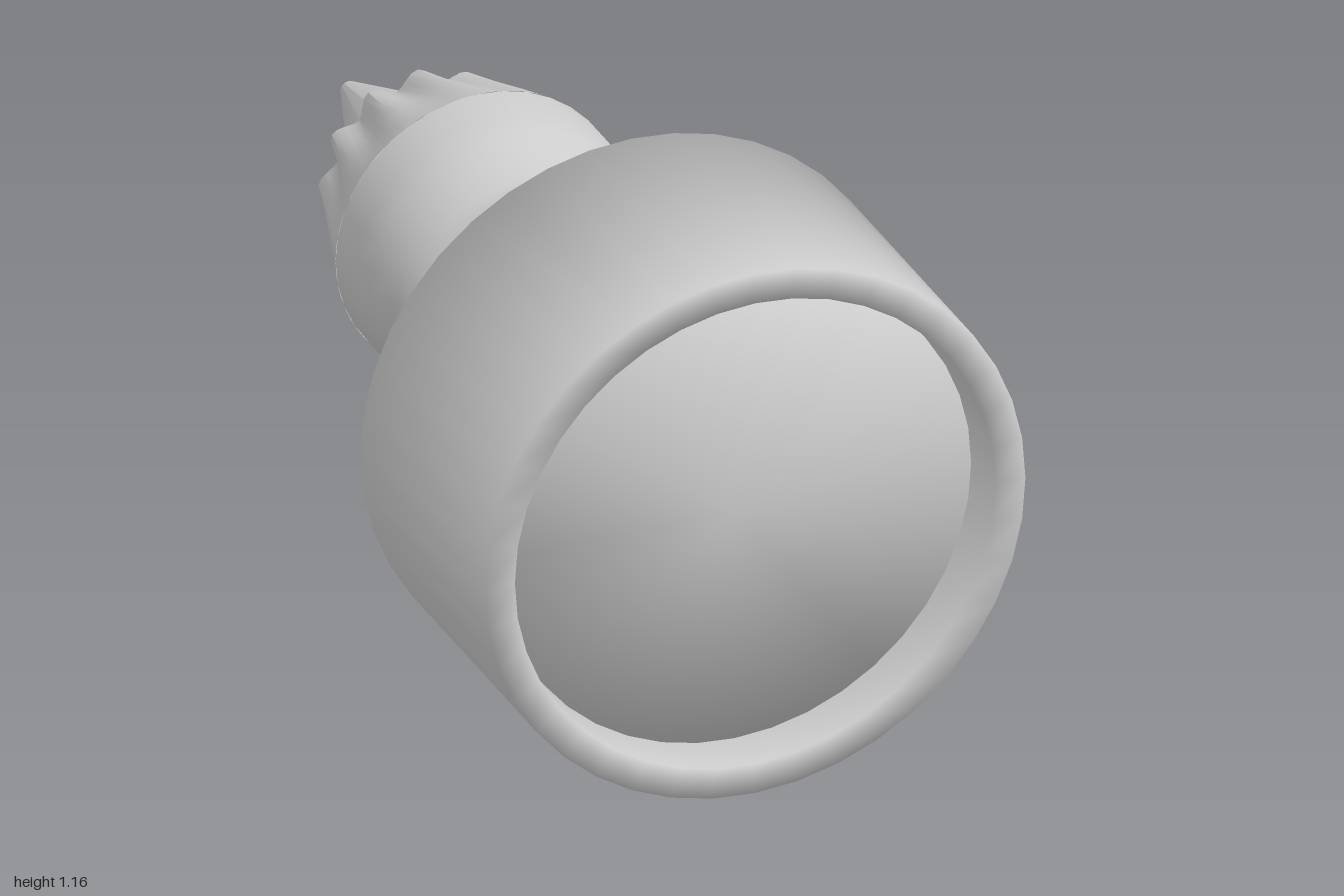
import * as THREE from 'three';
import { toCreasedNormals } from 'three/addons/utils/BufferGeometryUtils.js';

const AXIS_Y = 0.582;
const FLUTES = 12;
const SOFT = 1.7; // crease angle that blends right-angled rims
const CRISP = 0.6;
const material = new THREE.MeshStandardMaterial({ color: 0xcccccc, side: THREE.DoubleSide });

// Turned part about the z axis; profile is [radius, z], running from back to front on the outside
function turned(name, profile, crease = CRISP, segments = 36, reshape = null) {
  const points = profile.map(([r, z]) => new THREE.Vector2(r, z));
  const geometry = new THREE.LatheGeometry(points, segments);
  geometry.rotateX(Math.PI / 2);
  if (reshape) reshape(geometry.attributes.position);
  const mesh = new THREE.Mesh(toCreasedNormals(geometry, crease), material);
  mesh.name = name;
  mesh.position.y = AXIS_Y;
  return mesh;
}

// Presses grooves into the tapered nose, deepening towards its back end
function pressFlutes(position) {
  for (let i = 0; i < position.count; i++) {
    const x = position.getX(i), y = position.getY(i), z = position.getZ(i);
    const r = Math.hypot(x, y);
    if (r < 0.18) continue;
    const depth = 0.035 * THREE.MathUtils.clamp((-0.36 - z) / 0.3, 0, 1);
    const groove = 0.5 - 0.5 * Math.cos(Math.atan2(y, x) * FLUTES);
    const scale = (r - depth * groove) / r;
    position.setXY(i, x * scale, y * scale);
  }
}

export function createModel() {
  const group = new THREE.Group();
  group.name = 'ductedBody';

  group.add(
    // Wide open ring with a drum set inside it, leaving a narrow gap
    turned('shroud', [[0.515, 0.39], [0.58, 0.39], [0.58, 1], [0.515, 1], [0.515, 0.39]], SOFT, 40),
    turned('drum', [[0, 0.64], [0.507, 0.64], [0.507, 0.9], [0, 0.9]], SOFT, 40),

    // Hub behind the drum and the shaft behind it
    turned('hub', [[0, 0.345], [0.265, 0.345], [0.265, 0.65]]),
    turned('shaft', [[0.2, -0.12], [0.2, 0.35]]),
    turned('collar', [
      [0.2, -0.085], [0.212, -0.075], [0.212, -0.07], [0.225, -0.07], [0.23, -0.06],
      [0.23, 0.03], [0.225, 0.045], [0.212, 0.05], [0.2, 0.06],
    ]),

    // Rounded bulb behind the collar
    turned('bulb', [
      [0.29, -0.365], [0.307, -0.36], [0.307, -0.27], [0.295, -0.21],
      [0.27, -0.155], [0.24, -0.115], [0.21, -0.095], [0.19, -0.095],
    ]),

    // Fluted taper with a recessed end around the tip
    turned('flutedNose', [
      [0.13, -0.62], [0.165, -0.62], [0.175, -0.66], [0.213, -0.66],
      [0.243, -0.56], [0.276, -0.46], [0.307, -0.36],
    ], CRISP, FLUTES * 8, pressFlutes),
    turned('tipCone', [[0, -1], [0.018, -1], [0.145, -0.66], [0.163, -0.61]]),
  );
  return group;
}
